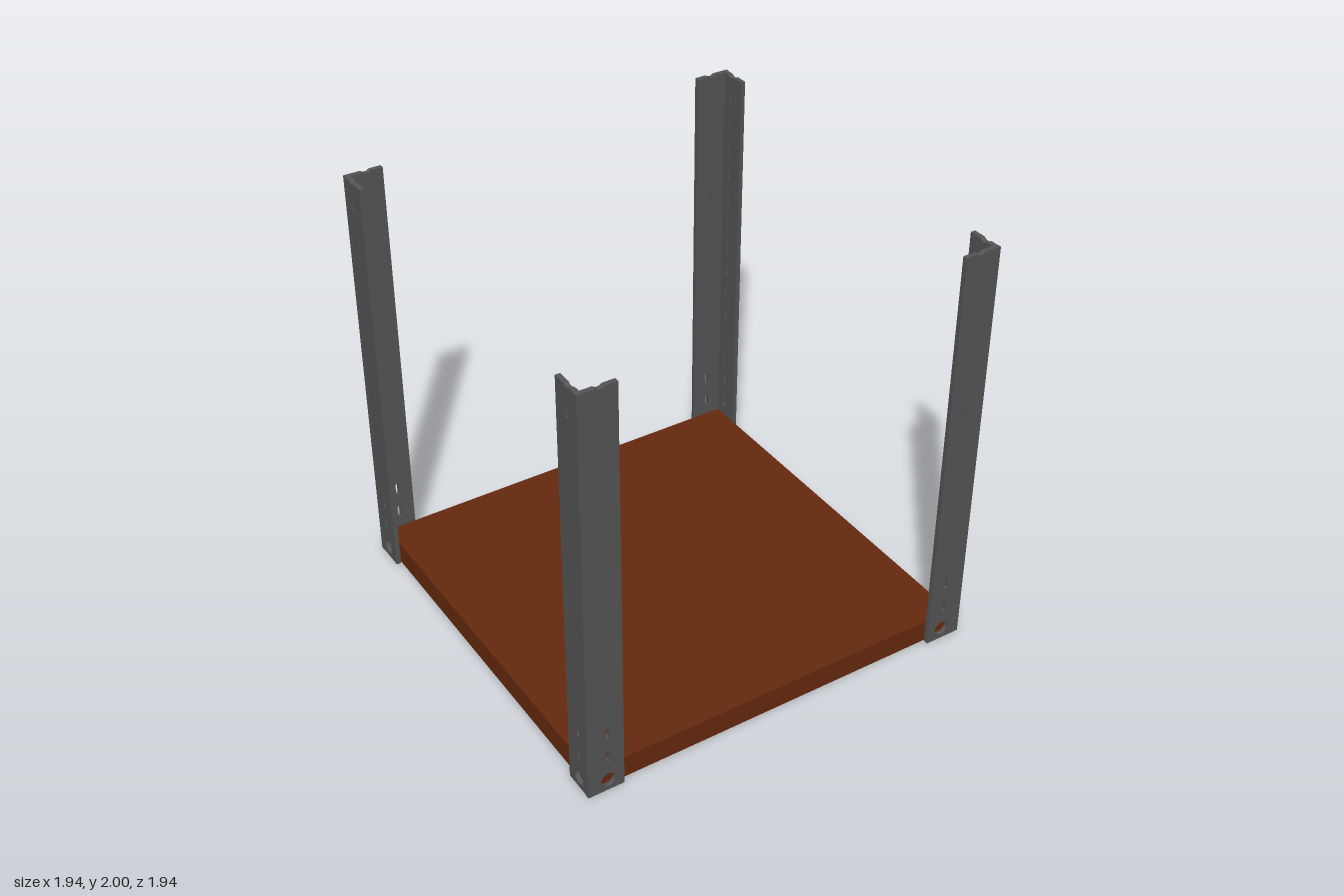
import * as THREE from 'three';

const H = 2, OUT = 0.968, T = 0.022;         // post height, outer face, sheet thickness
const HOLE_Y = 0.055, HOLE_R = 0.036;        // bolt hole
const PITCH = 0.131, SLOT_Y = 0.19, SLOT_H = 0.065;
const slotY = (i) => SLOT_Y + i * PITCH;

// Rounded-end slot centred on (u, y)
function slot(u, y, w) {
  const r = w / 2, h = SLOT_H / 2 - r, p = new THREE.Path();
  p.moveTo(u + r, y - h);
  p.lineTo(u + r, y + h);
  p.absarc(u, y + h, r, 0, Math.PI, false);
  p.lineTo(u - r, y - h);
  p.absarc(u, y - h, r, Math.PI, Math.PI * 2, false);
  return p;
}

// One sheet layer from u0 to u1, with a bolt hole, a top notch and slots [index, width]
function sheet(u0, u1, uc, slots, depth) {
  const s = new THREE.Shape(), d = Math.sign(u1 - u0);
  s.moveTo(u0, 0);
  s.lineTo(u1, 0);
  s.lineTo(u1, H);
  s.lineTo(uc + d * 0.02, H);
  s.lineTo(uc + d * 0.008, H - 0.008);
  s.lineTo(uc - d * 0.008, H - 0.008);
  s.lineTo(uc - d * 0.02, H);
  s.lineTo(u0, H);
  s.closePath();
  s.holes.push(new THREE.Path().absarc(uc, HOLE_Y, HOLE_R, 0, Math.PI * 2));
  for (const [i, w] of slots) s.holes.push(slot(uc, slotY(i), w));
  return new THREE.ExtrudeGeometry(s, { depth, bevelEnabled: false, curveSegments: 10 });
}

export function createModel() {
  const model = new THREE.Group();
  const steel = new THREE.MeshStandardMaterial({ color: 0x555555 });
  const wood = new THREE.MeshStandardMaterial({ color: 0x66290e });

  // Shelf board
  const shelf = new THREE.Mesh(new THREE.BoxGeometry(1.882, 0.11, 1.882), wood);
  shelf.name = 'shelf';
  shelf.position.y = 0.055;
  model.add(shelf);

  // Slot patterns: only the lowest two pierce the sheet, the rest are pressed recesses
  const W = 0.017;
  const pierced = [[0, W], [1, W]];
  const inner = Array.from({ length: 14 }, (_, i) => [i, W]);
  const wideOuter = [...pierced];
  for (let i = 2; i < 11; i++) wideOuter.push([i, 0.014 - i * 0.0008]);
  const narrowOuter = [...pierced, [13, 0.02]];

  // Flange in three layers, inside to outside; place() moves a layer to its distance
  function flange(name, u0, u1, uc, outer, place) {
    const g = new THREE.Group();
    g.name = name;
    let at = OUT - T;
    for (const [part, slots, d] of [
      ['innerSkin', inner, 0.005], ['core', pierced, 0.012], ['outerSkin', outer, 0.005],
    ]) {
      const m = new THREE.Mesh(place(sheet(u0, u1, uc, slots, d), at, d), steel);
      m.name = part;
      g.add(m);
      at += d;
    }
    return g;
  }

  // Four corner angle posts
  for (const sx of [-1, 1]) for (const sz of [-1, 1]) {
    const post = new THREE.Group();
    post.name = (sz > 0 ? 'front' : 'back') + (sx > 0 ? 'Left' : 'Right') + 'Post';
    post.add(flange('wideFlange', sx * 0.797, sx * 0.97, sx * 0.873, wideOuter,
      (g, at, d) => g.translate(0, 0, sz > 0 ? at : -at - d)));
    post.add(flange('sideFlange', sz * 0.813, sz * (OUT - T), sz * 0.893, narrowOuter,
      (g, at, d) => g.rotateY(-Math.PI / 2).translate(sx > 0 ? at + d : -at, 0, 0)));
    model.add(post);
  }
  return model;
}
